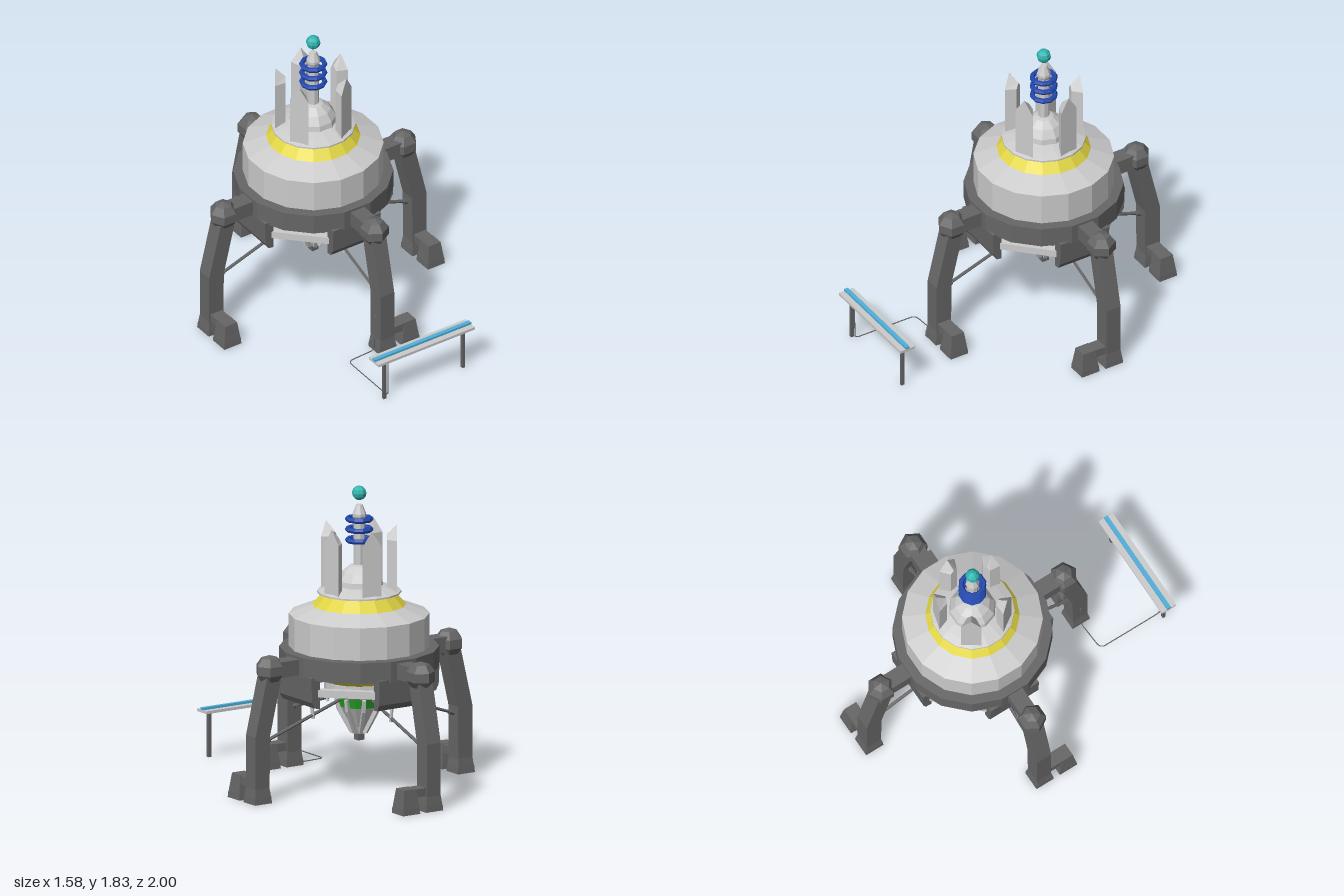
import * as THREE from 'three';

const mat = (color) => new THREE.MeshStandardMaterial({ color, flatShading: true, side: THREE.DoubleSide });

export function createModel() {
  const light = mat(0xcccccc), dark = mat(0x666666), yellow = mat(0xe0d444), blue = mat(0x2349b0);
  const teal = mat(0x2fb5b0), green = mat(0x22aa22), sky = mat(0x4fb0dc);
  const root = new THREE.Group();
  root.name = 'lander';

  const add = (parent, name, geo, m, x = 0, y = 0, z = 0) => {
    const mesh = new THREE.Mesh(geo, m);
    mesh.name = name;
    mesh.position.set(x, y, z);
    parent.add(mesh);
    return mesh;
  };
  const box = (parent, name, m, x0, x1, y0, y1, z0, z1) => add(parent, name,
    new THREE.BoxGeometry(x1 - x0, y1 - y0, z1 - z0), m, (x0 + x1) / 2, (y0 + y1) / 2, (z0 + z1) / 2);
  const lathe = (parent, name, m, pts, sides = 16) => add(parent, name,
    new THREE.LatheGeometry(pts.map(([r, y]) => new THREE.Vector2(r, y)), sides, Math.PI / sides), m);
  const rod = (parent, name, m, a, b, r, sides = 6) => {
    const p = new THREE.Vector3(...a), q = new THREE.Vector3(...b);
    const mesh = add(parent, name, new THREE.CylinderGeometry(r, r, p.distanceTo(q), sides), m);
    mesh.position.copy(p).lerp(q, 0.5);
    mesh.quaternion.setFromUnitVectors(new THREE.Vector3(0, 1, 0), q.sub(p).normalize());
    return mesh;
  };
  const extrude = (pts, depth) => new THREE.ExtrudeGeometry(
    new THREE.Shape(pts.map(([x, y]) => new THREE.Vector2(x, y))), { depth, bevelEnabled: false }).translate(0, 0, -depth / 2);
  // Square block narrowing towards the top
  const taperedBlock = (parent, name, m, top, bottom, h, x, y, z) => add(parent, name,
    new THREE.CylinderGeometry(top * Math.SQRT1_2, bottom * Math.SQRT1_2, h, 4).rotateY(Math.PI / 4), m, x, y + h / 2, z);

  const body = new THREE.Group();
  body.name = 'body';
  body.position.set(-0.005, 0, -0.21);
  root.add(body);

  // Hull
  lathe(body, 'baseRing', dark, [[0.22, 0.71], [0.34, 0.715], [0.475, 0.735], [0.475, 0.86], [0.41, 0.863]]);
  lathe(body, 'drum', light, [[0.418, 0.86], [0.418, 1.06], [0.28, 1.115]]);
  lathe(body, 'upperBand', yellow, [[0.28, 1.115], [0.22, 1.18]]);
  lathe(body, 'upperDeck', light, [[0.215, 1.18], [0.25, 1.187], [0.25, 1.197], [0.2, 1.215], [0.13, 1.235]]);
  lathe(body, 'dome', light, [[0.145, 1.215], [0.137, 1.265], [0.105, 1.315], [0.06, 1.35], [0, 1.365]], 10);

  // Mast with coils
  lathe(body, 'mast', light, [[0.034, 1.34], [0.034, 1.63], [0.042, 1.65], [0.042, 1.665], [0.02, 1.72], [0, 1.72]], 8);
  for (const y of [1.505, 1.57, 1.632])
    add(body, 'coil', new THREE.TorusGeometry(0.069, 0.016, 6, 10).rotateX(Math.PI / 2), blue, 0, y, 0);
  add(body, 'beacon', new THREE.SphereGeometry(0.044, 8, 6), teal, 0, 1.79, 0);

  // Upright pointed fins around the dome, narrower on the inside
  for (const deg of [-9, 63, 146, 215, 285]) {
    const geo = extrude([[-0.06, 1.19], [0.06, 1.19], [0.06, 1.51], [0, 1.6], [-0.06, 1.51]], 0.06);
    const p = geo.attributes.position;
    for (let i = 0; i < p.count; i++) if (p.getZ(i) < 0) {
      p.setX(i, p.getX(i) * 0.4);
      if (p.getY(i) > 1.55) p.setY(i, 1.54);
    }
    geo.translate(0, 0, 0.195).rotateY(Math.PI / 2 - THREE.MathUtils.degToRad(deg));
    add(body, 'fin', geo, light);
  }

  // Underside and nozzle
  lathe(body, 'lowerBand', yellow, [[0.2, 0.655], [0.26, 0.715]]);
  lathe(body, 'lowerHull', light, [[0.13, 0.555], [0.19, 0.585], [0.21, 0.6], [0.21, 0.655]]);
  lathe(body, 'glowBand', green, [[0.118, 0.5], [0.135, 0.56]], 12);
  lathe(body, 'nozzle', light, [[0, 0.33], [0.035, 0.34], [0.05, 0.375], [0.118, 0.5]], 12);
  for (let i = 0; i < 8; i++) {
    const rib = extrude([[0.1, 0.565], [0.152, 0.555], [0.135, 0.48], [0.055, 0.335], [0.03, 0.33], [0.03, 0.37]], 0.02);
    add(body, 'nozzleRib', rib.rotateY((i + 0.5) * Math.PI / 4), light);
  }
  box(body, 'nozzleTip', dark, -0.022, 0.022, 0.29, 0.34, -0.022, 0.022);

  // Four leg assemblies, built pointing along +x; side = direction of the second foot
  [1, -1, -1, 1].forEach((side, i) => {
    const leg = new THREE.Group();
    leg.name = 'leg';
    leg.rotation.y = [0, Math.PI, -Math.PI / 2, Math.PI / 2][i];
    body.add(leg);
    add(leg, 'housing', extrude([[0.4, 0.56], [0.435, 0.565], [0.455, 0.6], [0.462, 0.75], [0.4, 0.75]], 0.34), dark);
    box(leg, 'legArm', dark, 0.4, 0.65, 0.75, 0.845, -0.05, 0.05);
    add(leg, 'hipJoint', new THREE.SphereGeometry(0.09, 6, 5), dark, 0.645, 0.797, 0);
    add(leg, 'limb', extrude([[0.59, 0.77], [0.675, 0.41], [0.68, 0.03], [0.78, 0.03], [0.78, 0.41], [0.695, 0.77]], 0.1), dark);
    taperedBlock(leg, 'footPad', dark, 0.116, 0.122, 0.04, 0.73, 0, 0);
    taperedBlock(leg, 'boot', dark, 0.085, 0.115, 0.115, 0.73, 0.035, 0);
    taperedBlock(leg, 'sideFootPad', dark, 0.116, 0.122, 0.04, 0.73, 0, side * 0.165);
    taperedBlock(leg, 'sideBoot', dark, 0.085, 0.115, 0.115, 0.73, 0.035, side * 0.165);
    add(leg, 'footLink', new THREE.BoxGeometry(0.085, 0.05, 0.18), dark, 0.73, 0.122, side * 0.115);
    rod(leg, 'brace', dark, [0.14, 0.55, 0], [0.69, 0.36, 0], 0.01);
    rod(leg, 'braceClamp', dark, [0.645, 0.375, 0], [0.69, 0.36, 0], 0.016);
    rod(leg, 'piston', light, [0.37, 0.73, 0], [0.33, 0.47, 0], 0.006);
    rod(leg, 'pistonSleeve', light, [0.345, 0.56, 0], [0.33, 0.46, 0], 0.011);
    // Straight beam joining this housing to its neighbour
    const beam = new THREE.BoxGeometry(0.37, 0.045, 0.045).translate(0, 0.653, 0.39).rotateY(Math.PI / 4);
    add(leg, 'housingBeam', beam, light);
  });

  // Panel on two posts
  const stand = new THREE.Group();
  stand.name = 'panelStand';
  root.add(stand);
  box(stand, 'panel', light, -0.36, 0.33, 0.276, 0.293, 0.9, 1);
  box(stand, 'panelStrip', sky, -0.36, 0.33, 0.29, 0.307, 0.937, 0.963);
  for (const x of [-0.29, 0.275]) box(stand, 'post', dark, x - 0.01, x + 0.01, 0, 0.28, 0.945, 0.965);

  // Cable running along the ground from the front leg to the panel
  const cable = new THREE.CatmullRomCurve3([[-0.055, 0.25, 0.52], [-0.065, 0.24, 0.52], [-0.068, 0.02, 0.52],
    [-0.085, 0.004, 0.52], [-0.235, 0.004, 0.53], [-0.258, 0.004, 0.56], [-0.26, 0.004, 0.92], [-0.26, 0.02, 0.95],
    [-0.26, 0.28, 0.955]].map((p) => new THREE.Vector3(...p)), false, 'catmullrom', 0.1);
  add(root, 'cable', new THREE.TubeGeometry(cable, 80, 0.0035, 5), dark);

  return root;
}
